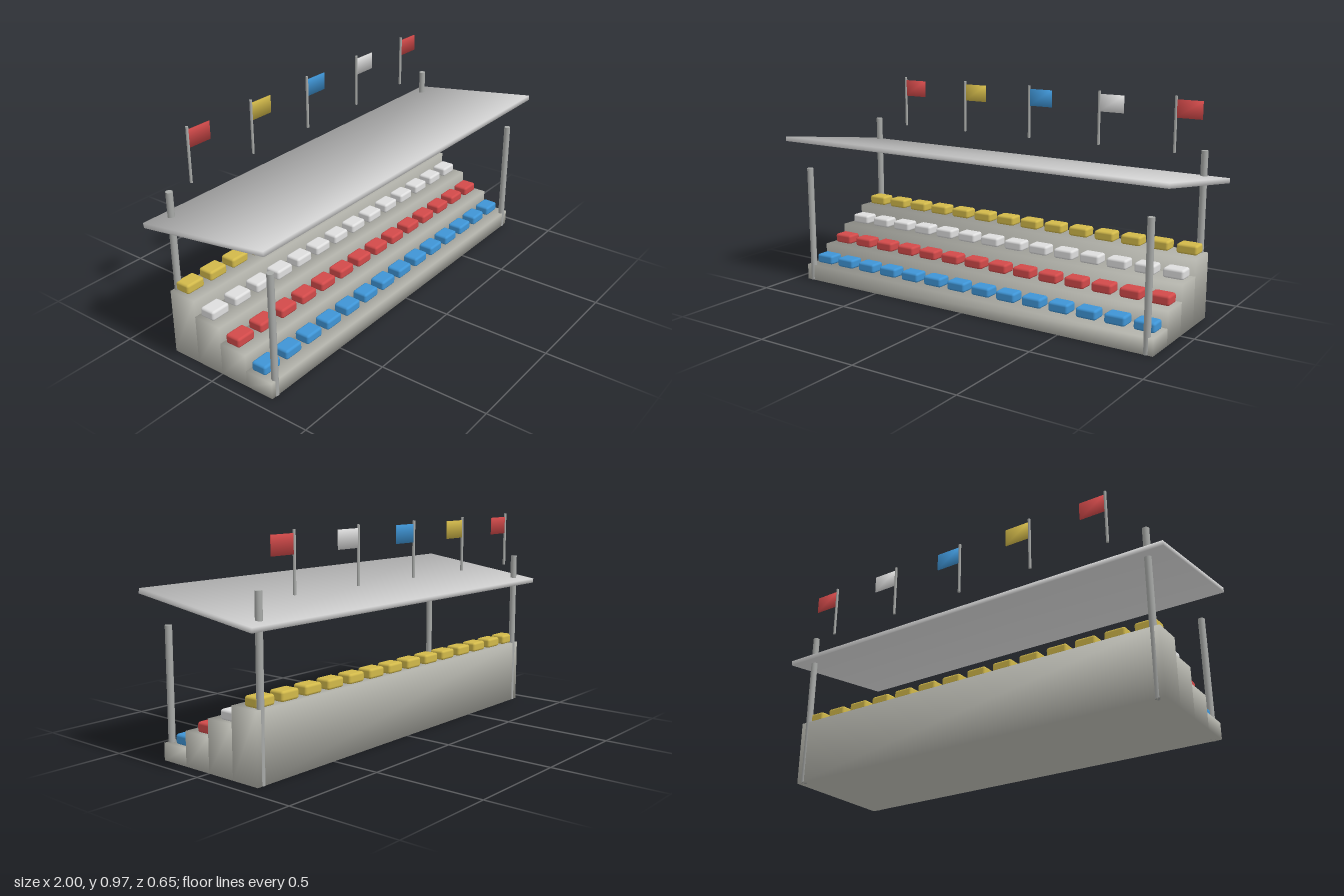
import * as THREE from 'three';
import { RoundedBoxGeometry } from 'three/addons/geometries/RoundedBoxGeometry.js';

const mat = (name, color, side = THREE.FrontSide) =>
  Object.assign(new THREE.MeshStandardMaterial({ color, side }), { name });

// Box whose corner normals are averaged, for soft shading across its faces
function softBox(w, h, d) {
  const geo = new THREE.BoxGeometry(w, h, d);
  const p = geo.attributes.position, n = geo.attributes.normal;
  const v = new THREE.Vector3();
  for (let i = 0; i < p.count; i++) {
    v.set(Math.sign(p.getX(i)), Math.sign(p.getY(i)), Math.sign(p.getZ(i))).normalize();
    n.setXYZ(i, v.x, v.y, v.z);
  }
  return geo;
}

export function createModel() {
  const model = new THREE.Group();
  model.name = 'grandstand';

  const concrete = mat('concrete', 0xb8b8b0);
  const steel = mat('steel', 0xa8aaa8);
  const roofMetal = mat('roofMetal', 0xd8d8d8);
  const blue = mat('blue', 0x3f95d6);
  const red = mat('red', 0xd24a4a);
  const white = mat('white', 0xdedede);
  const yellow = mat('yellow', 0xd2b94a);

  const add = (parent, name, geo, material, x, y, z) => {
    const mesh = new THREE.Mesh(geo, material);
    mesh.name = name;
    mesh.position.set(x, y, z);
    parent.add(mesh);
    return mesh;
  };

  // Four terraces, each with a row of seats
  const depth = 0.1375, rise = 0.075, perRow = 14;
  const seatGeo = new RoundedBoxGeometry(0.096, 0.044, 0.074, 2, 0.011);
  [blue, red, white, yellow].forEach((color, row) => {
    const h = rise * (row + 1);
    const z = 0.275 - depth * (row + 0.5);
    add(model, 'terrace', softBox(1.875, h, depth), concrete, 0, h / 2, z);
    const seats = new THREE.Group();
    seats.name = 'seatRow';
    for (let i = 0; i < perRow; i++) {
      add(seats, 'seat', seatGeo, color, (i - (perRow - 1) / 2) * 0.134, h + 0.022, z - 0.0185);
    }
    model.add(seats);
  });

  // Roof posts: short in front, tall behind
  for (const side of [-1, 1]) {
    for (const [name, h, z] of [['frontPost', 0.565, 0.264], ['backPost', 0.75, -0.263]]) {
      add(model, name, new THREE.CylinderGeometry(0.015, 0.015, h, 16), steel, side * 0.905, h / 2, z);
    }
  }

  // Roof slab rising towards the front
  const roof = add(model, 'roof', softBox(2, 0.022, 0.655), roofMetal, 0, 0.664, 0);
  roof.rotation.x = -0.14;

  // Row of flags along the back
  const poleGeo = new THREE.CylinderGeometry(0.00625, 0.00625, 0.25, 12);
  const flagGeo = softBox(0.123, 0.08, 0.005);
  [red, yellow, blue, white, red].forEach((color, i) => {
    const x = (i - 2) * 0.375;
    add(model, 'flagPole', poleGeo, steel, x, 0.845, -0.3);
    add(model, 'flag', flagGeo, color, x + 0.0625, 0.915, -0.3);
  });

  return model;
}
